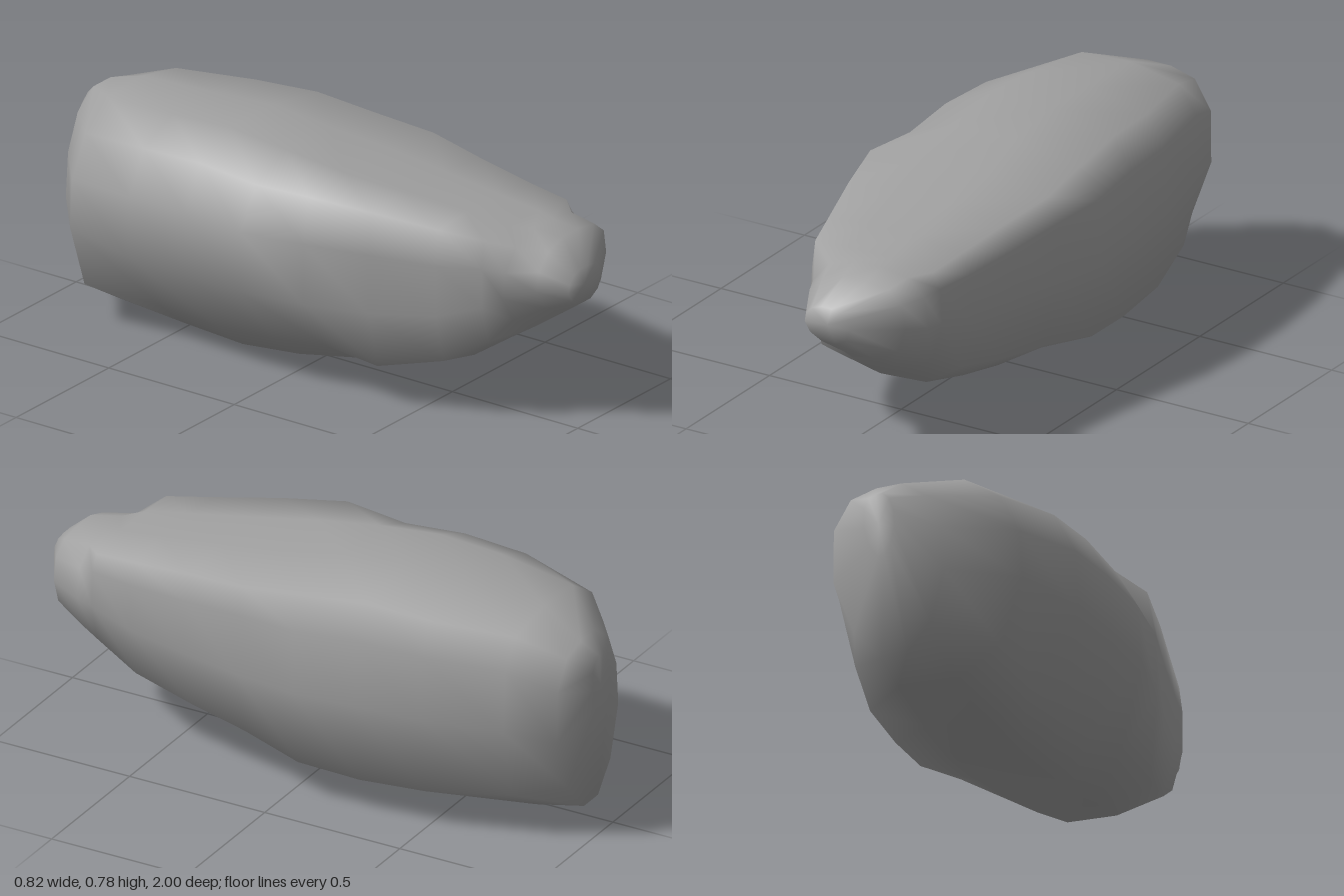
import * as THREE from 'three';

// Cross-section outlines, counterclockwise from the front (x: -1..1, y: 0..1)
const tail = [
  [-1, 0.45], [-0.75, 0.16], [-0.35, 0], [0.1, 0], [0.6, 0.18], [0.96, 0.5],
  [0.95, 0.8], [0.65, 0.96], [0.2, 1], [-0.25, 1], [-0.68, 0.9], [-0.94, 0.7],
];
const haunch = [
  [-1, 0.45], [-0.76, 0.14], [-0.25, 0], [0.35, 0.03], [0.82, 0.17], [1, 0.52],
  [0.97, 0.82], [0.76, 0.95], [0.2, 1], [-0.37, 0.985], [-0.75, 0.87], [-0.97, 0.68],
];
const widest = [
  [-1, 0.45], [-0.54, 0.14], [-0.2, 0], [0.38, 0.03], [0.91, 0.16], [1, 0.52],
  [0.98, 0.82], [0.8, 0.95], [0.2, 1], [-0.37, 1], [-0.77, 0.91], [-0.97, 0.72],
];
const middle = [
  [-1, 0.43], [-0.66, 0.15], [-0.2, 0], [0.38, 0.02], [0.85, 0.18], [1, 0.52],
  [0.99, 0.84], [0.88, 0.96], [0.25, 1], [-0.4, 1], [-0.91, 0.97], [-0.99, 0.74],
];
const shoulder = [
  [-1, 0.4], [-0.85, 0.07], [-0.25, 0], [0.38, 0.02], [0.85, 0.18], [1, 0.52],
  [0.98, 0.83], [0.86, 0.96], [0.25, 1], [-0.4, 1], [-0.95, 0.98], [-1, 0.74],
];
const nose = [
  [-1, 0.45], [-0.75, 0.18], [-0.25, 0], [0.4, 0], [0.85, 0.18], [1, 0.5],
  [0.93, 0.8], [0.65, 0.96], [0.2, 1], [-0.25, 1], [-0.68, 0.9], [-0.94, 0.7],
];

// Cross-sections from back to front: outline, z, left x, right x, bottom y, top y
const sections = [
  [tail, -1.0, 0.02, 0.13, 0.42, 0.64],
  [tail, -0.945, -0.13, 0.27, 0.085, 0.69],
  [haunch, -0.78, -0.33, 0.32, 0.035, 0.755],
  [widest, -0.5, -0.4, 0.375, 0.015, 0.768],
  [widest, -0.27, -0.41, 0.395, 0, 0.78],
  [widest, -0.05, -0.41, 0.41, 0.02, 0.757],
  [middle, 0.17, -0.36, 0.39, 0.055, 0.727],
  [shoulder, 0.38, -0.29, 0.36, 0.1, 0.7],
  [shoulder, 0.6, -0.225, 0.33, 0.16, 0.672],
  [shoulder, 0.75, -0.18, 0.312, 0.26, 0.654],
  [nose, 0.81, -0.15, 0.3, 0.298, 0.643],
  [nose, 0.91, -0.1, 0.275, 0.366, 0.63],
  [nose, 1.0, -0.05, 0.12, 0.43, 0.55],
];

// Joins the cross-sections into one closed, smooth skin
function loftGeometry() {
  const n = nose.length, last = sections.length - 1;
  const positions = [], index = [];
  for (const [outline, z, x0, x1, y0, y1] of sections)
    for (const [u, v] of outline)
      positions.push(x0 + (x1 - x0) * (u + 1) / 2, y0 + (y1 - y0) * v, z);

  for (let i = 0; i < last; i++)
    for (let j = 0; j < n; j++) {
      const k = (j + 1) % n;
      const a = i * n + j, b = i * n + k, c = b + n, d = a + n;
      index.push(a, b, c, a, c, d);
    }

  // End caps around a centre point
  for (const end of [0, last]) {
    const [, z, x0, x1, y0, y1] = sections[end];
    const centre = positions.length / 3;
    positions.push((x0 + x1) / 2, (y0 + y1) / 2, z);
    for (let j = 0; j < n; j++) {
      const a = end * n + j, b = end * n + (j + 1) % n;
      index.push(centre, ...(end ? [a, b] : [b, a]));
    }
  }

  const geometry = new THREE.BufferGeometry();
  geometry.setAttribute('position', new THREE.Float32BufferAttribute(positions, 3));
  geometry.setIndex(index);
  geometry.computeVertexNormals();
  return geometry;
}

export function createModel() {
  const group = new THREE.Group();
  const stone = new THREE.Mesh(loftGeometry(), new THREE.MeshStandardMaterial({ color: 0xa0a0a0 }));
  stone.name = 'stone';
  group.add(stone);
  return group;
}
